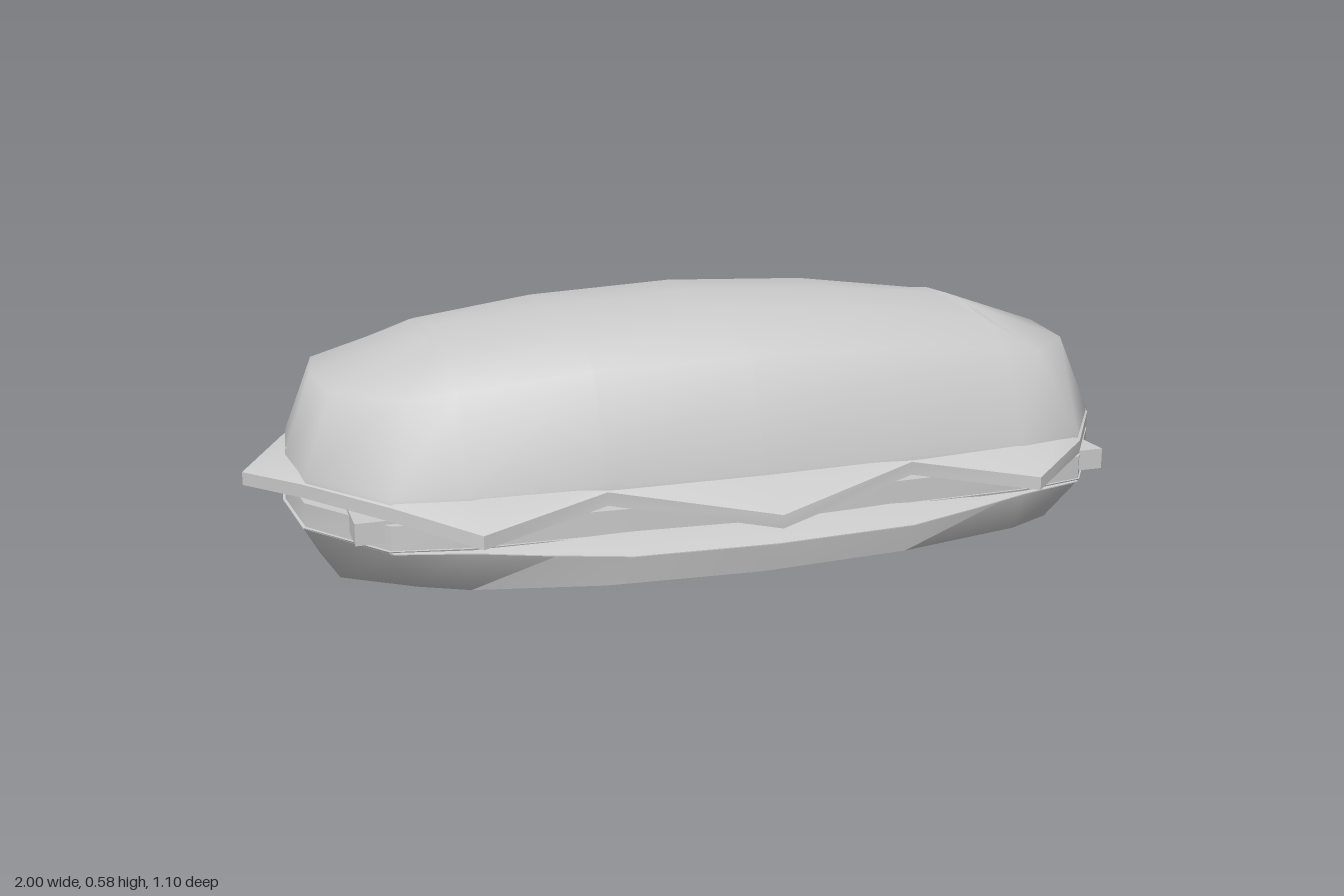
import * as THREE from 'three';
import { toCreasedNormals } from 'three/addons/utils/BufferGeometryUtils.js';

const material = new THREE.MeshStandardMaterial({ color: 0xcccccc, side: THREE.DoubleSide });

// Mirrors a quarter outline (from +x round to +z) into a closed ring
function fullRing(q) {
  const flip = (pts, sx, sz) => pts.map(([x, y, z]) => [x * sx, y, z * sz]);
  const back = [...q].reverse();
  return [
    ...q,
    ...flip(back.slice(1), -1, 1),
    ...flip(q.slice(1), -1, -1),
    ...flip(back.slice(1, -1), 1, -1),
  ];
}

// Skins a stack of quarter outlines, listed from bottom to top
function loft(name, quarters, crease = 1.1) {
  const rings = quarters.map(fullRing);
  const n = rings[0].length;
  const index = [];
  for (let r = 0; r < rings.length - 1; r++) {
    for (let i = 0; i < n; i++) {
      const a = r * n + i, b = r * n + (i + 1) % n;
      index.push(a, a + n, b, b, a + n, b + n);
    }
  }
  const geometry = new THREE.BufferGeometry();
  geometry.setAttribute('position', new THREE.Float32BufferAttribute(rings.flat(2), 3));
  geometry.setIndex(index);
  const mesh = new THREE.Mesh(toCreasedNormals(geometry, crease), material);
  mesh.name = name;
  return mesh;
}

// Collapses an outline onto the long axis, to close a stack flat
const spine = (q, y) => q.map(([x]) => [x, y, 0]);
const lift = (q, dy) => q.map(([x, y, z]) => [x, y + dy, z]);
const level = (q, y) => q.map(([x, , z]) => [x, y, z]);

export function createModel() {
  const group = new THREE.Group();

  // Bun outline where the halves meet
  const rim = [
    [0.91, 0.28, 0], [0.89, 0.28, 0.2], [0.75, 0.28, 0.4],
    [0.6, 0.28, 0.43], [0.33, 0.28, 0.44], [0, 0.28, 0.455],
  ];

  // Top bun: rim, shoulder, crown edge, ridge
  group.add(loft('topBun', [
    spine(rim, 0.25),
    level(rim, 0.25),
    rim,
    [[0.85, 0.45, 0], [0.83, 0.445, 0.17], [0.7, 0.45, 0.3],
      [0.6, 0.465, 0.325], [0.33, 0.495, 0.35], [0, 0.505, 0.362]],
    [[0.62, 0.53, 0], [0.62, 0.525, 0.1], [0.61, 0.512, 0.18],
      [0.6, 0.512, 0.19], [0.33, 0.547, 0.2], [0, 0.562, 0.2]],
    [[0.62, 0.53, 0], [0.62, 0.53, 0], [0.61, 0.531, 0],
      [0.6, 0.532, 0], [0.33, 0.561, 0], [0, 0.576, 0]],
  ]));

  // Lettuce: thin sheet with drooping points round its edge
  const leafInner = level(rim.map(([x, y, z]) => [x * 0.96, y, z * 0.94]), 0.29);
  const leafEdge = [
    [1, 0.247, 0], [0.895, 0.268, 0.2], [0.75, 0.268, 0.41],
    [0.595, 0.23, 0.518], [0.33, 0.268, 0.443], [0, 0.22, 0.552],
  ];
  group.add(loft('lettuce', [
    spine(rim, 0.262), lift(leafInner, -0.028), lift(leafEdge, -0.028), leafEdge, leafInner, spine(rim, 0.29),
  ], 0.7));

  // Filling slab
  const patty = rim.map(([x, y, z]) => [x * 1.005, y, z * 1.01]);
  group.add(loft('patty', [
    spine(patty, 0.18), level(patty, 0.18), level(patty, 0.23), spine(patty, 0.23),
  ], 0.7));

  // Square-cornered cheese slice
  const cheese = new THREE.Mesh(new THREE.BoxGeometry(1.64, 0.045, 0.78), material);
  cheese.name = 'cheese';
  cheese.position.y = 0.215;
  group.add(cheese);

  // Thin slice sagging over the long sides of the bottom bun
  const sliceEdge = [
    [0.92, 0.18, 0], [0.9, 0.178, 0.2], [0.75, 0.175, 0.41],
    [0.6, 0.172, 0.445], [0.47, 0.165, 0.48], [0.3, 0.158, 0.523], [0, 0.154, 0.53],
  ];
  const sliceInner = sliceEdge.map(([x, , z]) => [x * 0.92, 0.19, z * 0.81]);
  group.add(loft('slice', [
    spine(sliceEdge, 0.174), lift(sliceInner, -0.016), lift(sliceEdge, -0.002), sliceEdge,
    sliceInner, spine(sliceEdge, 0.19),
  ], 0.7));

  // Bottom bun: keel, base edge, lower shoulder, rim
  const base = rim.map(([x, , z]) => [x * 1.01, 0.178, z * 1.01]);
  group.add(loft('bottomBun', [
    [[0.6, 0.032, 0], [0.6, 0.032, 0], [0.58, 0.03, 0],
      [0.5, 0.024, 0], [0.33, 0.013, 0], [0, 0, 0]],
    [[0.6, 0.032, 0], [0.6, 0.034, 0.1], [0.58, 0.04, 0.2],
      [0.5, 0.036, 0.22], [0.33, 0.025, 0.235], [0, 0.015, 0.245]],
    [[0.85, 0.052, 0], [0.83, 0.06, 0.19], [0.7, 0.085, 0.36],
      [0.6, 0.08, 0.4], [0.33, 0.066, 0.425], [0, 0.06, 0.432]],
    base,
    spine(base, 0.178),
  ]));

  return group;
}
